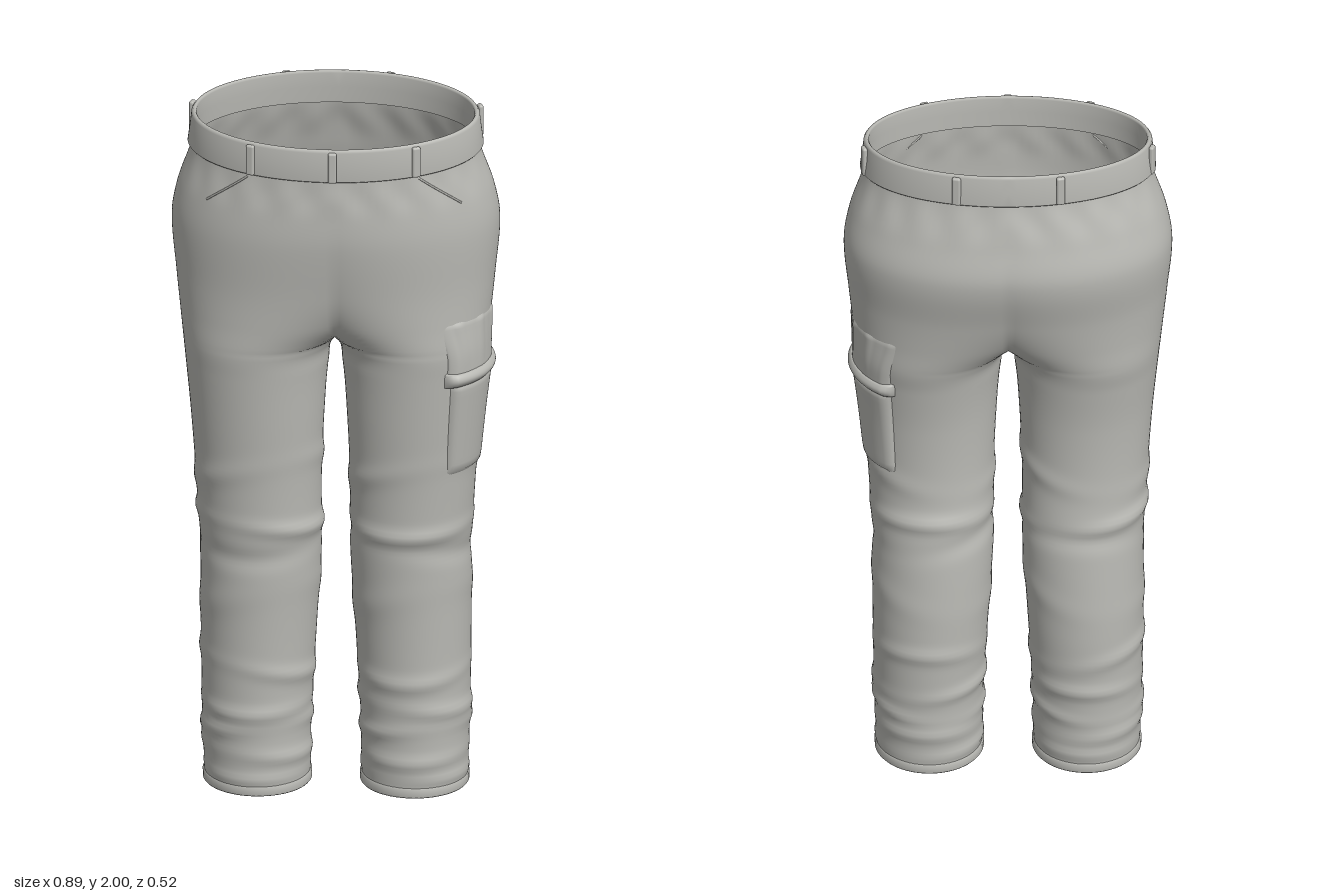
import * as THREE from 'three';
import { mergeVertices } from 'three/addons/utils/BufferGeometryUtils.js';
import { RoundedBoxGeometry } from 'three/addons/geometries/RoundedBoxGeometry.js';

// Half-body cross-sections: height, outer x, inner x (negative = joined at the middle), front z, back z
const SECTIONS = [
  [0.00, 0.355, 0.070, 0.125, -0.155],
  [0.20, 0.362, 0.066, 0.130, -0.162],
  [0.45, 0.366, 0.052, 0.137, -0.172],
  [0.70, 0.368, 0.038, 0.150, -0.160],
  [0.90, 0.378, 0.038, 0.162, -0.140],
  [1.10, 0.392, 0.030, 0.180, -0.143],
  [1.25, 0.406, 0.018, 0.194, -0.162],
  [1.32, 0.413, 0.000, 0.202, -0.178],
  [1.40, 0.421, -0.110, 0.211, -0.195],
  [1.50, 0.431, -0.230, 0.223, -0.218],
  [1.66, 0.444, -0.350, 0.244, -0.256],
  [1.76, 0.428, -0.385, 0.246, -0.238],
  [1.88, 0.390, -0.390, 0.240, -0.208],
  [1.98, 0.378, -0.378, 0.238, -0.200],
];

// Smooth interpolation between the sections
function section(y) {
  let i = 0;
  while (i < SECTIONS.length - 2 && y >= SECTIONS[i + 1][0]) i++;
  const p = SECTIONS[Math.max(i - 1, 0)], a = SECTIONS[i], b = SECTIONS[i + 1];
  const q = SECTIONS[Math.min(i + 2, SECTIONS.length - 1)];
  const h = b[0] - a[0], s = THREE.MathUtils.clamp((y - a[0]) / h, 0, 1);
  return [1, 2, 3, 4].map((k) => {
    const m0 = (b[k] - p[k]) / (b[0] - p[0]) * h, m1 = (q[k] - a[k]) / (q[0] - a[0]) * h;
    return (2 * s ** 3 - 3 * s * s + 1) * a[k] + (s ** 3 - 2 * s * s + s) * m0
      + (3 * s * s - 2 * s ** 3) * b[k] + (s ** 3 - s * s) * m1;
  });
}

// Cloth folds: height, slant, amplitude, width
const FOLDS = [
  [0.94, 0.05, 0.006, 0.03], [0.79, 0.02, 0.011, 0.022], [0.73, 0.03, -0.007, 0.03],
  [0.56, 0.05, 0.004, 0.04], [0.36, 0.03, 0.008, 0.022], [0.25, 0.015, 0.009, 0.02],
  [0.18, 0.02, 0.008, 0.018], [0.11, 0.012, 0.008, 0.02], [0.05, 0.006, 0.006, 0.015],
];
function wrinkle(t, y, side) {
  let d = 0;
  FOLDS.forEach(([fy, slant, amp, w], i) => {
    const ph = i * 2.1 + side * 0.8;
    const g = (y - fy - slant * Math.sin(t + ph)) / w;
    d += amp * Math.exp(-g * g) * (0.6 + 0.4 * Math.cos(2 * t + ph));
  });
  // gathers under the waistband
  const w = (y - 1.83) / 0.045;
  return d + 0.004 * Math.exp(-w * w) * Math.cos(20 * (Math.abs(t) - Math.PI / 2)) * Math.abs(Math.sin(t));
}

// Point on the cloth at angle t (0 = outer side, positive = front), pushed out by off
function onCloth(t, y, off, side) {
  const [outer, inner, front, back] = section(y);
  const cx = (outer + inner) / 2, rx = (outer - inner) / 2;
  const cz = (front + back) / 2, rz = (front - back) / 2;
  const n = new THREE.Vector2(Math.cos(t) / rx, Math.sin(t) / rz).normalize();
  const x = cx + rx * Math.cos(t) + n.x * off, z = cz + rz * Math.sin(t) + n.y * off;
  const tilt = -0.1 * THREE.MathUtils.smoothstep(y, 1.6, 1.88);
  return new THREE.Vector3(x * side, y + tilt * z, z);
}

// Half-angle of the section: a full loop on the leg, an open arc on the hips
function reach(y) {
  const [outer, inner] = section(y);
  return inner >= -1e-6 ? Math.PI : Math.acos(-(outer + inner) / (outer - inner));
}

// Grid surface from fn(u, v, side), u and v in 0..1, for one or both sides
function surface(fn, nu, nv, sides = [1, -1]) {
  const pos = [], idx = [];
  for (const side of sides) {
    const base = pos.length / 3;
    for (let j = 0; j <= nv; j++) for (let i = 0; i <= nu; i++) pos.push(...fn(i / nu, j / nv, side).toArray());
    for (let j = 0; j < nv; j++) for (let i = 0; i < nu; i++) {
      const a = base + j * (nu + 1) + i, b = a + 1, c = a + nu + 1, d = c + 1;
      if (side > 0) idx.push(a, c, b, b, c, d);
      else idx.push(a, b, c, b, d, c);
    }
  }
  const g = new THREE.BufferGeometry();
  g.setAttribute('position', new THREE.Float32BufferAttribute(pos, 3));
  g.setIndex(idx);
  const merged = mergeVertices(g, 1e-5);
  merged.computeVertexNormals();
  return merged;
}

// Band running round the cloth, from a profile of [height, offset]
function band(profile) {
  const n = profile.length - 1;
  return surface((u, v, side) => {
    const [y, off] = profile[Math.round(v * n)];
    const p = onCloth((2 * u - 1) * reach(y), y, off, side);
    if (y > 1.4 && (u === 0 || u === 1)) p.x = 0;
    return p;
  }, 56, n);
}

// Raised patch on the left leg: its edges drop into the cloth
function patch(y0, y1, t0, t1, lift, nu = 40, nv = 16) {
  const edge = (k) => Math.min(1, Math.min(k, 1 - k) * 14);
  return surface((u, v) => {
    const y = y0 + (y1 - y0) * v, e = Math.sqrt(edge(u) * edge(v));
    return onCloth(t0 + (t1 - t0) * u, y, -0.006 + (lift(u, v) + 0.006) * e, 1);
  }, nu, nv, [1]);
}

export function createModel() {
  const group = new THREE.Group();
  const cloth = new THREE.MeshStandardMaterial({ color: 0xb9b9b4, side: THREE.DoubleSide });
  cloth.name = 'grey cloth';
  const add = (name, geometry) => {
    const mesh = new THREE.Mesh(geometry, cloth);
    mesh.name = name;
    group.add(mesh);
    return mesh;
  };

  // Legs and hips in one skin; a row falls exactly on the crotch
  const CROTCH = 1.32, SPLIT = 0.7;
  add('legsAndHips', surface((u, v, side) => {
    const y = v <= SPLIT + 1e-9 ? CROTCH * Math.min(v / SPLIT, 1)
      : CROTCH + (1.9 - CROTCH) * (v - SPLIT) / (1 - SPLIT);
    const t = (2 * u - 1) * reach(y);
    const p = onCloth(t, y, wrinkle(t, y, side), side);
    if (y >= CROTCH - 1e-6 && (u === 0 || u === 1)) p.x = 0;
    return p;
  }, 64, 150));

  // Hems and waistband
  add('hems', band([[0.05, -0.01], [0.004, -0.01], [0, -0.007], [0, 0.002], [0.004, 0.005], [0.025, 0.005], [0.03, -0.002]]));
  add('waistband', band([[1.884, -0.004], [1.884, 0.008], [1.888, 0.012], [1.93, 0.012], [1.97, 0.011],
    [1.977, 0.007], [1.977, 0.001], [1.972, -0.003], [1.93, -0.004], [1.884, -0.006]]));

  // Belt loops
  const loop = new RoundedBoxGeometry(0.024, 0.088, 0.014, 3, 0.006);
  const addLoop = (t, side) => {
    const p = onCloth(t, 1.93, 0.015, side), q = onCloth(t, 1.93, 0.115, side).sub(p);
    const mesh = add('beltLoop', loop);
    mesh.position.copy(p);
    mesh.rotation.y = Math.atan2(q.x, q.z);
  };
  addLoop(Math.PI / 2, 1);
  for (const side of [1, -1]) for (const t of [0.96, -0.2, -1.2]) addLoop(t, side);

  // Slanted front pocket seams
  for (const side of [1, -1]) {
    const pts = [0, 1, 2, 3, 4].map((i) => onCloth(0.94 - 0.075 * i, 1.875 - 0.025 * i, 0.001, side));
    add('frontPocketSeam', new THREE.TubeGeometry(new THREE.CatmullRomCurve3(pts), 16, 0.003, 6));
  }

  // Cargo pocket on the left leg: pouch, creased flap and the thick flap edge
  add('cargoPouch', patch(0.95, 1.25, -1.02, 1.02, (u, v) => 0.010 + 0.008 * v));
  add('cargoFlap', patch(1.24, 1.42, -1.02, 1.08,
    (u, v) => 0.016 * (1 - v) + 0.004 * v * Math.max(0, Math.sin(u * 38)), 80, 16));
  add('cargoFlapEdge', patch(1.225, 1.272, -1.08, 1.12,
    (u, v) => 0.012 + 0.015 * Math.sin(Math.PI * v), 40, 12));
  return group;
}
